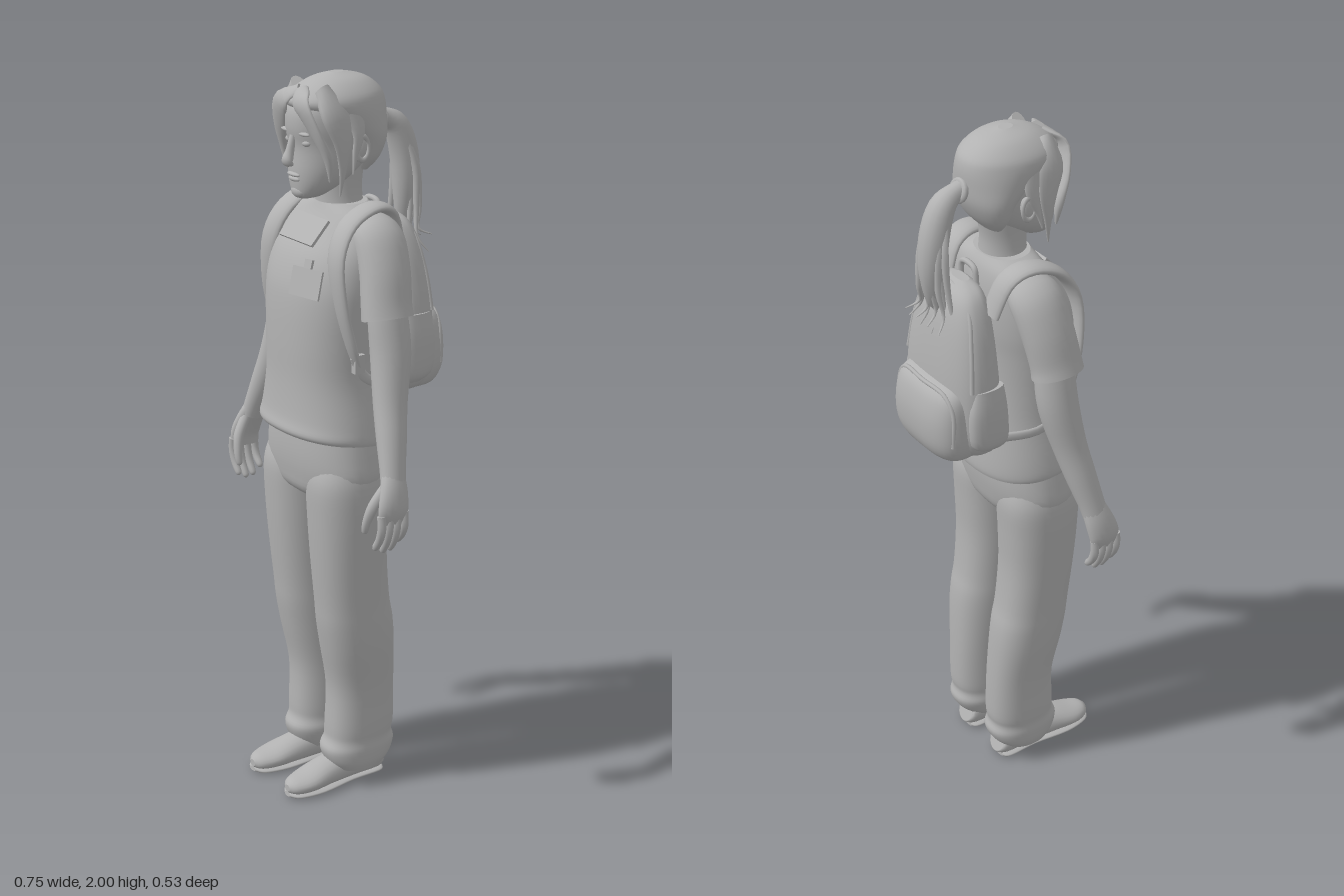
import * as THREE from 'three';

const grey = new THREE.MeshStandardMaterial({ color: 0xb2b2b2 });
grey.name = 'plain grey';

// Smooth interpolation through a list of key rows
function smoothRows(rows, sub) {
  const out = [];
  for (let i = 0; i < rows.length - 1; i++) {
    const p0 = rows[Math.max(i - 1, 0)], p1 = rows[i], p2 = rows[i + 1], p3 = rows[Math.min(i + 2, rows.length - 1)];
    for (let k = 0; k < sub; k++) {
      const t = k / sub;
      out.push(p1.map((b, j) => {
        const a = p0[j], c = p2[j], d = p3[j];
        return b + 0.5 * t * (c - a + t * (2 * a - 5 * b + 4 * c - d + t * (3 * (b - c) + d - a)));
      }));
    }
  }
  out.push(rows[rows.length - 1]);
  return out;
}

// Skin a list of point rings, with crisp end caps
function skin(rings) {
  const n = rings[0].length, pos = [], idx = [];
  rings.forEach(r => r.forEach(p => pos.push(p.x, p.y, p.z)));
  for (let i = 0; i < rings.length - 1; i++) for (let j = 0; j < n; j++) {
    const a = i * n + j, b = i * n + (j + 1) % n;
    idx.push(a, b, a + n, b, b + n, a + n);
  }
  [0, rings.length - 1].forEach(e => {
    const base = pos.length / 3, c = new THREE.Vector3();
    rings[e].forEach(p => { pos.push(p.x, p.y, p.z); c.addScaledVector(p, 1 / n); });
    pos.push(c.x, c.y, c.z);
    for (let j = 0; j < n; j++) {
      const a = base + j, b = base + (j + 1) % n;
      if (e === 0) idx.push(base + n, b, a); else idx.push(base + n, a, b);
    }
  });
  const g = new THREE.BufferGeometry();
  g.setAttribute('position', new THREE.Float32BufferAttribute(pos, 3));
  g.setIndex(idx);
  g.computeVertexNormals();
  return g;
}

// Horizontal sections, rising in y: [y, centreX, halfWidth, zFront, zBack]
function body(rows, power = 2, seg = 36, sub = 4) {
  const bend = v => Math.sign(v) * Math.pow(Math.abs(v), 2 / power);
  return skin(smoothRows(rows, sub).map(([y, cx, w, zf, zb]) =>
    Array.from({ length: seg }, (_, j) => {
      const t = j / seg * Math.PI * 2;
      return new THREE.Vector3(cx + w * bend(Math.cos(t)), y, (zf + zb) / 2 - (zf - zb) / 2 * bend(Math.sin(t)));
    })));
}

// Oval sections along a path: [x, y, z, radius across x, other radius]
function limb(rows, seg = 16, sub = 4) {
  const pts = smoothRows(rows, sub), at = i => new THREE.Vector3(...pts[i].slice(0, 3));
  return skin(pts.map((p, i) => {
    const T = at(Math.min(i + 1, pts.length - 1)).sub(at(Math.max(i - 1, 0))).normalize();
    const U = new THREE.Vector3(1, 0, 0);
    U.addScaledVector(T, -U.dot(T)).normalize();
    const V = T.clone().cross(U);
    return Array.from({ length: seg }, (_, j) => {
      const t = j / seg * Math.PI * 2;
      return at(i).addScaledVector(U, Math.cos(t) * p[3]).addScaledVector(V, Math.sin(t) * p[4]);
    });
  }));
}

export function createModel() {
  const model = new THREE.Group();
  model.name = 'womanWithBackpack';
  const add = (name, geo) => {
    const m = new THREE.Mesh(geo, grey);
    m.name = name;
    model.add(m);
    return m;
  };
  const blob = (name, x, y, z, a, b, c) => {
    const m = add(name, new THREE.SphereGeometry(1, 16, 12));
    m.position.set(x, y, z);
    m.scale.set(a, b, c);
    return m;
  };
  const flip = (rows, s) => rows.map(([x, ...rest]) => [s * x, ...rest]);

  // Shirt with a flared hem, drooping at the back
  const shirt = body([
    [1.045, 0, .2, .215, -.09], [1.06, 0, .203, .222, -.093], [1.1, 0, .197, .213, -.09], [1.2, 0, .18, .205, -.078],
    [1.3, 0, .18, .204, -.07], [1.4, 0, .186, .2, -.07], [1.47, 0, .19, .19, -.075], [1.54, 0, .186, .165, -.075],
    [1.6, 0, .17, .125, -.07], [1.64, 0, .14, .098, -.06], [1.665, 0, .08, .085, -.045]], 2.3, 48);
  const sp = shirt.attributes.position;
  for (let i = 0; i < sp.count; i++) {
    const low = Math.max(0, 1 - (sp.getY(i) - 1.04) / .12);
    sp.setY(i, sp.getY(i) + low * (sp.getZ(i) - .12) * .12);
  }
  shirt.computeVertexNormals();
  add('shirt', shirt);

  // Trouser seat
  add('trouserSeat', body([[.84, 0, .06, .1, .0], [.88, 0, .15, .165, -.035], [.93, 0, .2, .18, -.048],
    [1.0, 0, .197, .185, -.055], [1.09, 0, .18, .18, -.05]], 2.4));

  // Neck, head and face
  add('neck', body([[1.6, 0, .085, .09, -.05], [1.655, 0, .064, .085, -.042], [1.71, 0, .058, .085, -.04], [1.77, 0, .06, .09, -.05]]));
  add('head', body([[1.683, 0, .018, .148, .105], [1.692, 0, .04, .158, .075], [1.72, 0, .066, .163, .025], [1.76, 0, .084, .165, -.03],
    [1.82, 0, .094, .163, -.08], [1.87, 0, .099, .172, -.095], [1.92, 0, .097, .166, -.094], [1.96, 0, .078, .13, -.07], [1.985, 0, .03, .07, -.01]], 2.15));
  add('nose', limb([[0, 1.85, .165, .009, .008], [0, 1.81, .175, .011, .012], [0, 1.785, .183, .017, .014], [0, 1.775, .172, .012, .006]]));
  blob('upperLip', 0, 1.748, .164, .027, .006, .009);
  blob('lowerLip', 0, 1.736, .162, .023, .007, .009);
  blob('chin', 0, 1.702, .148, .028, .018, .016);

  // Hair cap with the parted fringe
  add('hairCap', body([[1.745, 0, .055, -.005, -.045], [1.78, 0, .085, .01, -.075], [1.83, 0, .101, .035, -.098], [1.88, 0, .106, .1, -.104],
    [1.925, 0, .106, .168, -.103], [1.955, 0, .094, .155, -.09], [1.985, 0, .06, .105, -.05], [2.0, 0, .015, .05, .01]], 2.1));
  for (const s of [-1, 1]) {
    add('fringeLock', limb(flip([[.005, 1.965, .14, .02, .01], [.045, 1.935, .168, .03, .009], [.08, 1.87, .153, .025, .009],
      [.1, 1.8, .125, .014, .012], [.098, 1.74, .118, .003, .003]], s)));
    add('sideLock', limb(flip([[.05, 1.965, .11, .03, .02], [.094, 1.91, .1, .014, .04], [.108, 1.84, .085, .008, .028],
      [.108, 1.77, .085, .006, .012], [.103, 1.7, .09, .002, .002]], s)));
    add('backLock', limb(flip([[.085, 1.93, .05, .015, .035], [.107, 1.86, .035, .007, .02], [.112, 1.8, .05, .005, .008], [.118, 1.755, .06, .002, .002]], s)));
    blob('eye', s * .037, 1.833, .149, .016, .009, .011);
    blob('eyebrow', s * .038, 1.858, .158, .024, .006, .009);
    blob('ear', s * .101, 1.815, .025, .012, .034, .02).rotation.x = -.2;
    const rim = add('earRim', new THREE.TorusGeometry(.019, .005, 8, 20));
    rim.position.set(s * .109, 1.817, .024);
    rim.rotation.y = Math.PI / 2;
    rim.scale.y = 1.6;
  }

  // Ponytail with its tie and loose wisps
  add('ponytail', limb([[0, 1.87, -.085, .024, .024], [0, 1.865, -.12, .024, .024], [0, 1.835, -.163, .036, .034], [0, 1.76, -.188, .041, .038],
    [0, 1.67, -.195, .036, .037], [0, 1.59, -.19, .02, .026], [0, 1.54, -.182, .004, .005]], 14));
  const tie = add('hairTie', new THREE.TorusGeometry(.025, .009, 8, 20));
  tie.position.set(0, 1.865, -.112);
  tie.rotation.x = .3;
  for (let i = 0; i < 9; i++) {
    const u = i / 4 - 1, k = (i * 5 % 9) / 8;
    add('hairWisp', limb([[u * .02, 1.83, -.165, .008, .008], [u * .042, 1.73, -.185 - k * .02, .011, .01],
      [u * .045, 1.62, -.18 - k * .035, .009, .008], [u * .06, 1.53 + k * .03, -.175 - k * .03, .005, .004],
      [u * .08, 1.46 + k * .08, -.19 - k * .05, .0015, .0015]], 7));
  }

  for (const s of [-1, 1]) {
    // Sleeve, arm and hand
    add('sleeve', limb(flip([[.115, 1.6, .01, .05, .065], [.16, 1.585, .01, .056, .074], [.2, 1.51, .018, .055, .073],
      [.222, 1.43, .028, .055, .072], [.231, 1.395, .03, .057, .074]], s), 24));
    add('arm', limb(flip([[.2, 1.5, .02, .04, .05], [.222, 1.4, .024, .046, .056], [.24, 1.3, .027, .05, .056], [.267, 1.18, .047, .043, .047],
      [.297, 1.09, .064, .037, .042], [.322, 1.02, .078, .03, .037], [.335, .98, .085, .027, .036]], s), 20));
    add('palm', limb(flip([[.325, 1.01, .08, .026, .033], [.345, .965, .09, .024, .042], [.357, .92, .1, .02, .046], [.354, .885, .102, .014, .042]], s)));
    for (let i = 0; i < 4; i++) {
      const z = .067 + .024 * i, drop = [.0, -.018, -.02, -.008][i];
      add('finger', limb(flip([[.358, .91, z, .012, .012], [.36, .875, z, .012, .012], [.35, .845 + drop / 2, z, .011, .011],
        [.332, .822 + drop, z, .009, .009], [.327, .815 + drop, z, .003, .003]], s), 10));
    }
    add('thumb', limb(flip([[.335, .98, .108, .014, .014], [.325, .93, .14, .015, .015], [.312, .885, .152, .012, .012],
      [.304, .855, .153, .009, .009], [.302, .848, .152, .003, .003]], s), 10));

    // Trouser leg with gathers above the hem
    add('trouserLeg', body(smoothRows([[.05, .09, .066, .105, -.045], [.075, .09, .074, .125, -.07], [.11, .088, .078, .135, -.085], [.14, .089, .074, .122, -.077],
      [.18, .09, .076, .12, -.082], [.3, .092, .077, .116, -.08], [.42, .098, .085, .137, -.074], [.5, .1, .088, .15, -.066], [.57, .101, .089, .156, -.052],
      [.7, .103, .094, .168, -.04], [.82, .104, .099, .176, -.042], [.92, .103, .1, .178, -.045], [.98, .1, .09, .16, -.03]], 1).map(r => [r[0], s * r[1], ...r.slice(2)]), 2.3));

    // Shoe, heel to toe
    add('shoe', limb(flip([[.08, .05, -.05, .03, .035], [.08, .048, -.035, .043, .047], [.08, .048, .05, .045, .047], [.083, .043, .13, .049, .039],
      [.088, .034, .2, .05, .028], [.089, .03, .245, .034, .022], [.089, .03, .262, .012, .01]], s), 20));
    add('shoeSole', limb(flip([[.08, .009, -.052, .03, .009], [.08, .009, -.03, .045, .009], [.08, .009, .06, .045, .009], [.086, .009, .17, .053, .009],
      [.089, .01, .24, .04, .009], [.089, .012, .262, .014, .006]], s), 20));

    // Padded shoulder strap and lower webbing
    add('shoulderStrap', limb(flip([[.105, 1.55, -.09, .032, .012], [.12, 1.64, -.055, .034, .013], [.132, 1.665, .01, .036, .014], [.14, 1.63, .092, .036, .014],
      [.153, 1.55, .137, .034, .013], [.17, 1.43, .135, .028, .013], [.18, 1.32, .11, .022, .012], [.178, 1.25, .085, .014, .008]], s)));
    add('strapWebbing', limb(flip([[.18, 1.29, .1, .008, .014], [.186, 1.23, .07, .006, .014], [.189, 1.2, .0, .005, .014], [.15, 1.19, -.08, .006, .014]], s), 10));
    const buckle = add('strapBuckle', new THREE.BoxGeometry(.018, .05, .03));
    buckle.position.set(s * .185, 1.27, .09);
    add('backpackSidePocket', body([[1.17, s * .135, .02, -.07, -.15], [1.2, s * .143, .029, -.065, -.18], [1.29, s * .143, .03, -.07, -.185], [1.36, s * .142, .02, -.08, -.17]], 2.3, 20));
  }

  // Backpack
  add('backpack', body([[1.135, 0, .1, -.07, -.16], [1.15, 0, .135, -.06, -.19], [1.2, 0, .157, -.055, -.212], [1.3, 0, .16, -.055, -.216], [1.4, 0, .152, -.06, -.21],
    [1.5, 0, .132, -.065, -.196], [1.57, 0, .105, -.07, -.178], [1.605, 0, .075, -.08, -.155], [1.62, 0, .03, -.095, -.125]], 2.6, 40));
  add('backpackFrontPocket', body([[1.13, 0, .09, -.12, -.2], [1.145, 0, .118, -.11, -.238], [1.19, 0, .135, -.1, -.26], [1.26, 0, .135, -.1, -.264],
    [1.32, 0, .126, -.11, -.252], [1.35, 0, .105, -.12, -.232], [1.362, 0, .07, -.13, -.205]], 3, 40));
  const tube = (name, pts, r) => add(name, new THREE.TubeGeometry(new THREE.CatmullRomCurve3(pts.map(p => new THREE.Vector3(...p))), 40, r, 8));
  tube('mainZip', [[-.145, 1.36, -.178], [-.128, 1.47, -.167], [-.09, 1.57, -.15], [0, 1.61, -.138], [.09, 1.57, -.15], [.128, 1.47, -.167], [.145, 1.36, -.178]], .006);
  tube('pocketZip', [[-.125, 1.2, -.225], [-.122, 1.3, -.222], [-.09, 1.342, -.225], [0, 1.35, -.232], [.09, 1.342, -.225], [.122, 1.3, -.222], [.125, 1.2, -.225]], .006);
  tube('carryHandle', [[-.035, 1.6, -.085], [-.025, 1.645, -.085], [.025, 1.645, -.085], [.035, 1.6, -.085]], .008);

  // Square neckline band and pinned chest card
  const band = add('neckBand', new THREE.BoxGeometry(.15, .08, .008));
  band.position.set(0, 1.6, .132);
  band.rotation.x = -.75;
  const card = add('chestCard', new THREE.BoxGeometry(.105, .075, .006));
  card.position.set(.098, 1.485, .194);
  card.rotation.set(-.25, .2, 0, 'YXZ');
  const clip = add('cardClip', new THREE.BoxGeometry(.025, .03, .008));
  clip.position.set(.09, 1.528, .18);
  clip.rotation.set(-.3, .2, 0, 'YXZ');
  return model;
}
